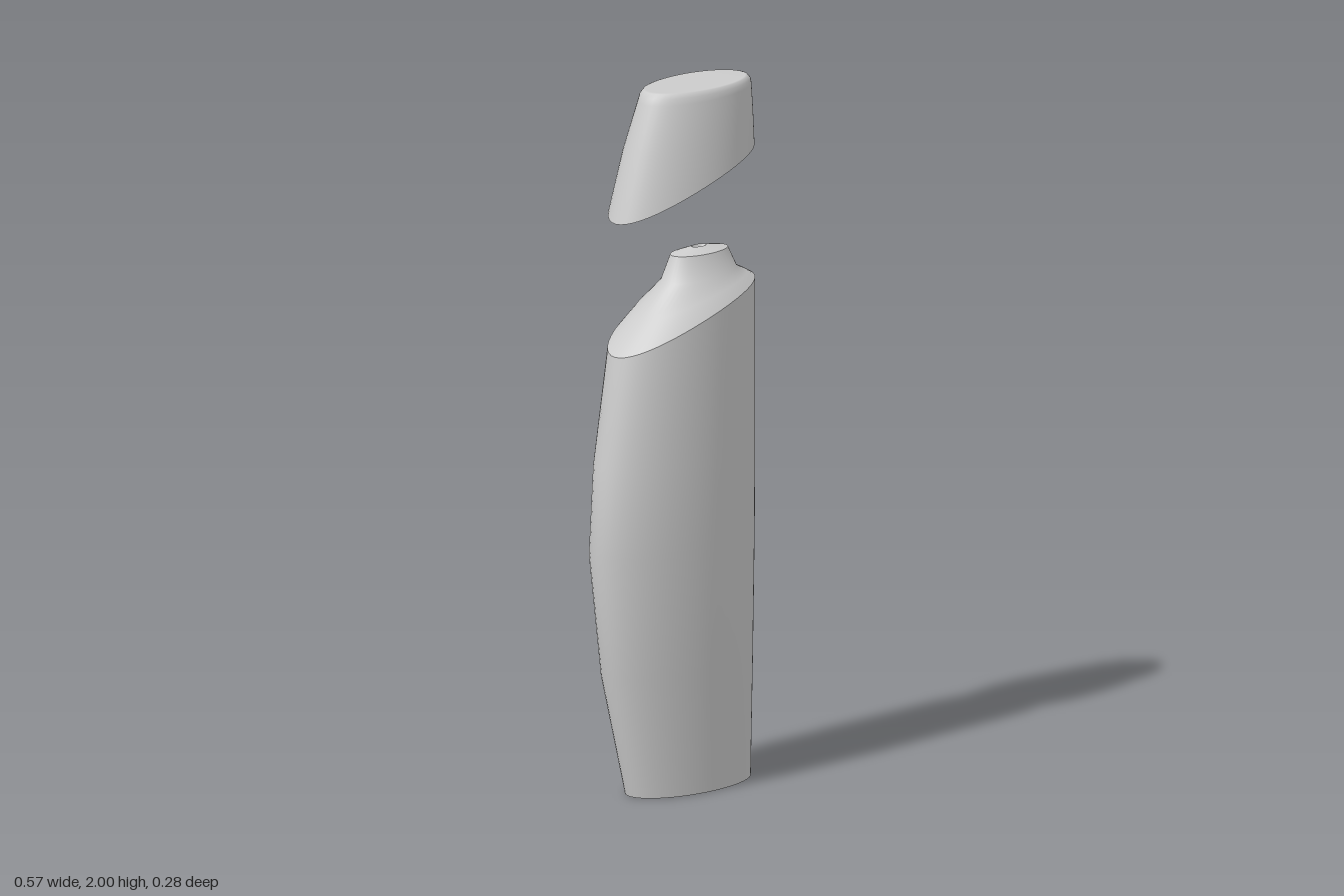
import * as THREE from 'three';

const SEG = 48;
const material = new THREE.MeshStandardMaterial({ color: 0xcccccc, side: THREE.DoubleSide });

// Lofts elliptical rings: [xMin, xMax, y at xMin, y at xMax, half depth, upward bow]
function loft(name, rings, closeEnd = false) {
  const positions = [], index = [];
  for (const [x0, x1, y0, y1, depth, bow = 0] of rings) {
    for (let i = 0; i < SEG; i++) {
      const a = (i / SEG) * Math.PI * 2, c = Math.cos(a);
      positions.push(
        (x0 + x1) / 2 + (c * (x1 - x0)) / 2,
        (y0 + y1) / 2 + (c * (y1 - y0)) / 2 + bow * (1 - c * c),
        -Math.sin(a) * depth
      );
    }
  }
  for (let r = 0; r < rings.length - 1; r++) {
    for (let i = 0; i < SEG; i++) {
      const j = (i + 1) % SEG, a = r * SEG, b = a + SEG;
      index.push(a + i, a + j, b + j, a + i, b + j, b + i);
    }
  }
  if (closeEnd) {
    const [x0, x1, y0, y1] = rings[rings.length - 1];
    const last = (rings.length - 1) * SEG, centre = rings.length * SEG;
    positions.push((x0 + x1) / 2, (y0 + y1) / 2, 0);
    for (let i = 0; i < SEG; i++) index.push(last + i, last + ((i + 1) % SEG), centre);
  }
  const geometry = new THREE.BufferGeometry();
  geometry.setAttribute('position', new THREE.Float32BufferAttribute(positions, 3));
  geometry.setIndex(index);
  geometry.computeVertexNormals();
  const mesh = new THREE.Mesh(geometry, material);
  mesh.name = name;
  return mesh;
}

export function createModel() {
  const model = new THREE.Group();
  model.name = 'bottle';

  const foot = [-0.158, 0.275, 0, 0, 0.108];
  const rim = [-0.218, 0.285, 1.265, 1.428, 0.132, 0.02];
  const neckTop = [0.002, 0.2, 1.516, 1.516, 0.05];

  // Body: swelling side wall, cut by a slanted rim
  model.add(loft('body', [
    foot,
    [-0.245, 0.279, 0.35, 0.35, 0.13],
    [-0.288, 0.283, 0.7, 0.7, 0.142],
    [-0.272, 0.285, 0.95, 0.95, 0.14],
    rim
  ]));

  // Flat underside, turned to face down
  const base = loft('base', [foot], true);
  base.geometry.index.array.reverse();
  base.geometry.computeVertexNormals();
  model.add(base);

  // Sloping shoulder rising into the neck
  model.add(loft('shoulder', [
    rim,
    [-0.125, 0.258, 1.355, 1.443, 0.106, 0.014],
    [-0.028, 0.228, 1.442, 1.458, 0.073, 0.003],
    neckTop
  ]));

  // Slightly domed neck top with a small dispensing hole
  model.add(loft('neckTop', [
    neckTop,
    [0.075, 0.125, 1.53, 1.53, 0.014]
  ]));
  model.add(loft('dispensingHole', [
    [0.075, 0.125, 1.53, 1.53, 0.014],
    [0.085, 0.115, 1.515, 1.515, 0.009]
  ], true));

  // Lifted cap: open below, rounded at the top edge
  model.add(loft('cap', [
    [-0.216, 0.283, 1.645, 1.808, 0.132, 0.02],
    [-0.164, 0.281, 1.825, 1.9, 0.117, 0.01],
    [-0.11, 0.278, 1.967, 1.975, 0.102],
    [-0.103, 0.275, 1.986, 1.989, 0.099],
    [-0.092, 0.266, 1.998, 1.998, 0.092],
    [-0.084, 0.258, 2, 2, 0.087]
  ], true));

  return model;
}
